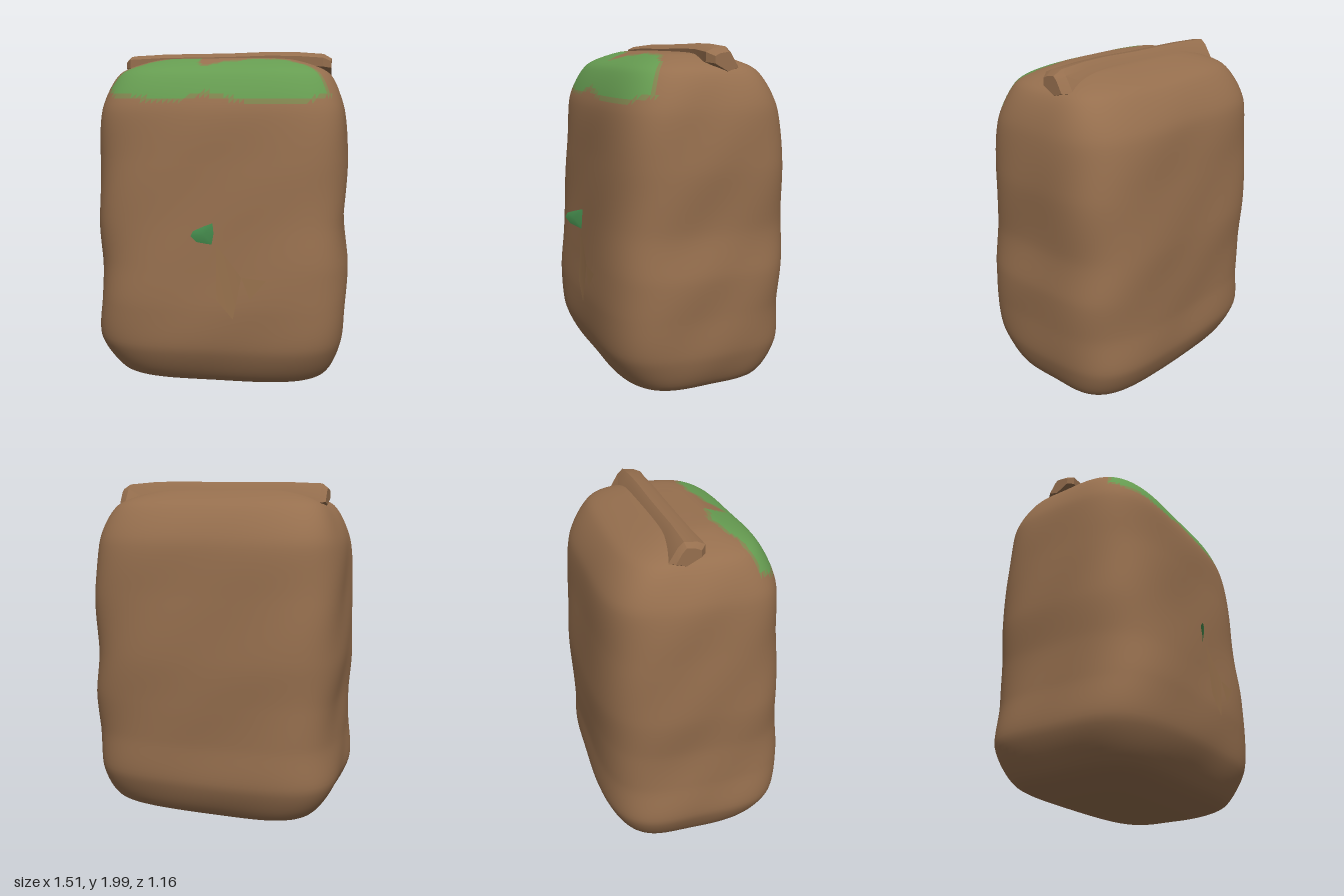
import * as THREE from 'three';
import { toCreasedNormals } from 'three/addons/utils/BufferGeometryUtils.js';

const flat = (name, color) => {
  const m = new THREE.MeshStandardMaterial({ color });
  m.name = name;
  return m;
};

const geometryFrom = (positions, index) => {
  const g = new THREE.BufferGeometry();
  g.setAttribute('position', new THREE.Float32BufferAttribute(positions, 3));
  g.setIndex(index);
  g.computeVertexNormals();
  return g;
};

// Piecewise linear lookup in a list of [x, value]
const lookup = (pts, x) => {
  if (x <= pts[0][0]) return pts[0][1];
  for (let i = 1; i < pts.length; i++) {
    const [x0, v0] = pts[i - 1], [x1, v1] = pts[i];
    if (x <= x1) return v0 + (v1 - v0) * (x - x0) / (x1 - x0);
  }
  return pts[pts.length - 1][1];
};

// Body rings from bottom to top: y, left x, right x, front z, back z
const RINGS = [
  [0.015, 0, 0, 0, 0],
  [0.01, -0.22, 0.22, 0.1, -0.12],
  [0.01, -0.42, 0.43, 0.22, -0.27],
  [0.085, -0.63, 0.64, 0.41, -0.47],
  [0.28, -0.745, 0.725, 0.52, -0.57],
  [0.52, -0.735, 0.74, 0.54, -0.568],
  [0.75, -0.73, 0.75, 0.525, -0.575],
  [1.0, -0.75, 0.725, 0.505, -0.58],
  [1.35, -0.745, 0.74, 0.48, -0.56],
  [1.66, -0.73, 0.71, 0.45, -0.53],
  [1.86, -0.63, 0.62, 0.35, -0.41],
  [1.94, -0.42, 0.42, 0.18, -0.21],
  [1.952, -0.2, 0.2, 0.08, -0.1],
  [1.952, 0, 0, 0, 0],
];

// Moss limits across the front: lowest y, and how far back it reaches
const MOSS_LOW = [[-0.67, 1.78], [-0.6, 1.73], [-0.4, 1.71], [-0.2, 1.705], [-0.07, 1.745],
  [0.05, 1.715], [0.2, 1.7], [0.5, 1.7], [0.63, 1.74]];
const MOSS_BACK = [[-0.67, 0.27], [-0.5, 0.2], [-0.32, 0.12], [-0.13, 0.15], [-0.15, 0.2],
  [-0.1, 0.29], [0, 0.22], [0.2, 0.16], [0.4, 0.16], [0.55, 0.24], [0.63, 0.3]];

// Distance inside the moss patch (negative is outside)
const mossDepth = (x, y, z) => Math.min(
  x + 0.66, 0.63 - x,
  y - lookup(MOSS_LOW, x),
  z - lookup(MOSS_BACK, x) + 0.008 * Math.sin(x * 41));

function bodyGeometry() {
  const SIDES = 160, STEPS = 8, POWER = 4;
  const spline = (a, b) => new THREE.CatmullRomCurve3(
    RINGS.map((r) => new THREE.Vector3(r[a], r[0], r[b])), false, 'catmullrom', 0.4);
  const leftFront = spline(1, 3), rightBack = spline(2, 4);
  const rows = (RINGS.length - 1) * STEPS;
  const pos = [];
  for (let i = 0; i <= rows; i++) {
    const p = leftFront.getPoint(i / rows), q = rightBack.getPoint(i / rows);
    const cx = (p.x + q.x) / 2, cz = (p.z + q.z) / 2;
    const hx = (q.x - p.x) / 2, hz = (p.z - q.z) / 2;
    for (let j = 0; j < SIDES; j++) {
      const t = (j / SIDES) * Math.PI * 2, c = Math.cos(t), s = Math.sin(t);
      const r = Math.pow(Math.abs(c) ** POWER + Math.abs(s) ** POWER, -1 / POWER);
      // Gentle lumps
      const lump = 1 + 0.008 * Math.sin(5 * t + 4 * p.y) * Math.sin(7 * p.y + 2 * t);
      pos.push(cx + hx * r * c * lump, p.y, cz + hz * r * s * lump);
    }
  }
  const sets = [[], [], []];
  const add = (...tri) => {
    const mid = [0, 1, 2].map((k) => tri.reduce((sum, v) => sum + pos[v * 3 + k], 0) / 3);
    const d = mossDepth(...mid);
    sets[d > 0.014 ? 2 : d > -0.008 ? 1 : 0].push(...tri);
  };
  for (let i = 0; i < rows; i++) {
    for (let j = 0; j < SIDES; j++) {
      const a = i * SIDES + j, b = i * SIDES + (j + 1) % SIDES;
      add(a, a + SIDES, b);
      add(b, a + SIDES, b + SIDES);
    }
  }
  const g = geometryFrom(pos, sets.flat());
  let start = 0;
  sets.forEach((set, k) => {
    g.addGroup(start, set.length, k);
    start += set.length;
  });
  return g;
}

function barGeometry() {
  // Cross-section as [z, y]
  const section = [[-0.02, 1.905], [-0.02, 1.96], [-0.06, 1.98], [-0.13, 1.99],
    [-0.16, 1.96], [-0.21, 1.87], [-0.13, 1.845]];
  // Stations along the bar: x, depth scale, height scale, lift
  const stations = [[-0.635, 0.7, 0.65, -0.015], [-0.605, 1.02, 0.9, -0.005], [-0.4, 0.88, 0.9, 0.005],
    [0, 0.9, 0.9, 0.008], [0.25, 0.9, 0.95, 0.013], [0.42, 0.88, 0.95, 0.01],
    [0.58, 1.05, 0.95, -0.002], [0.63, 0.7, 0.7, -0.015]];
  const n = section.length, pos = [], index = [];
  stations.forEach(([x, sz, sy, lift]) => section.forEach(([z, y]) =>
    pos.push(x, 1.93 + (y - 1.93) * sy + lift, -0.11 + (z + 0.11) * sz)));
  for (let s = 0; s < stations.length - 1; s++) {
    for (let k = 0; k < n; k++) {
      const a = s * n + k, b = s * n + (k + 1) % n;
      index.push(a, a + n, b, b, a + n, b + n);
    }
  }
  const last = (stations.length - 1) * n;
  for (let k = 1; k < n - 1; k++) {
    index.push(0, k, k + 1, last, last + k + 1, last + k);
  }
  return toCreasedNormals(geometryFrom(pos, index), 0.5);
}

export function createModel() {
  const model = new THREE.Group();
  const brown = flat('brown', 0x966f4e);
  const mossEdge = flat('moss edge', 0x80854f);
  const moss = flat('moss green', 0x669c51);
  const leafGreen = flat('leaf green', 0x448a4c);
  const leafBrown = flat('dry leaf brown', 0x96704c);
  leafGreen.side = leafBrown.side = THREE.DoubleSide;
  const add = (name, geometry, material) => {
    const mesh = new THREE.Mesh(geometry, material);
    mesh.name = name;
    model.add(mesh);
  };

  add('body', bodyGeometry(), [brown, mossEdge, moss]);
  add('topBar', barGeometry(), brown);

  // Curled bud leaf standing out of the front
  add('budLeaf', geometryFrom([
    0.018, 0.97, 0.495, 0.0, 1.03, 0.5, -0.055, 1.012, 0.535, -0.105, 0.992, 0.57,
    -0.117, 0.965, 0.58, -0.09, 0.93, 0.56, -0.04, 0.915, 0.53, 0.0, 0.905, 0.505,
    -0.05, 0.968, 0.548,
  ], [0, 1, 2, 3, 4, 5, 6, 7].flatMap((k) => [8, k, (k + 1) % 8])), leafGreen);

  // Two flat dry leaves lying on the front
  add('dryLeaves', geometryFrom([
    0.015, 0.91, 0.522, 0.02, 0.6, 0.546, 0.115, 0.49, 0.55, 0.16, 0.73, 0.538,
    0.16, 0.73, 0.538, 0.21, 0.605, 0.546, 0.3, 0.715, 0.538,
  ], [0, 1, 2, 0, 2, 3, 4, 5, 6]), leafBrown);

  return model;
}
